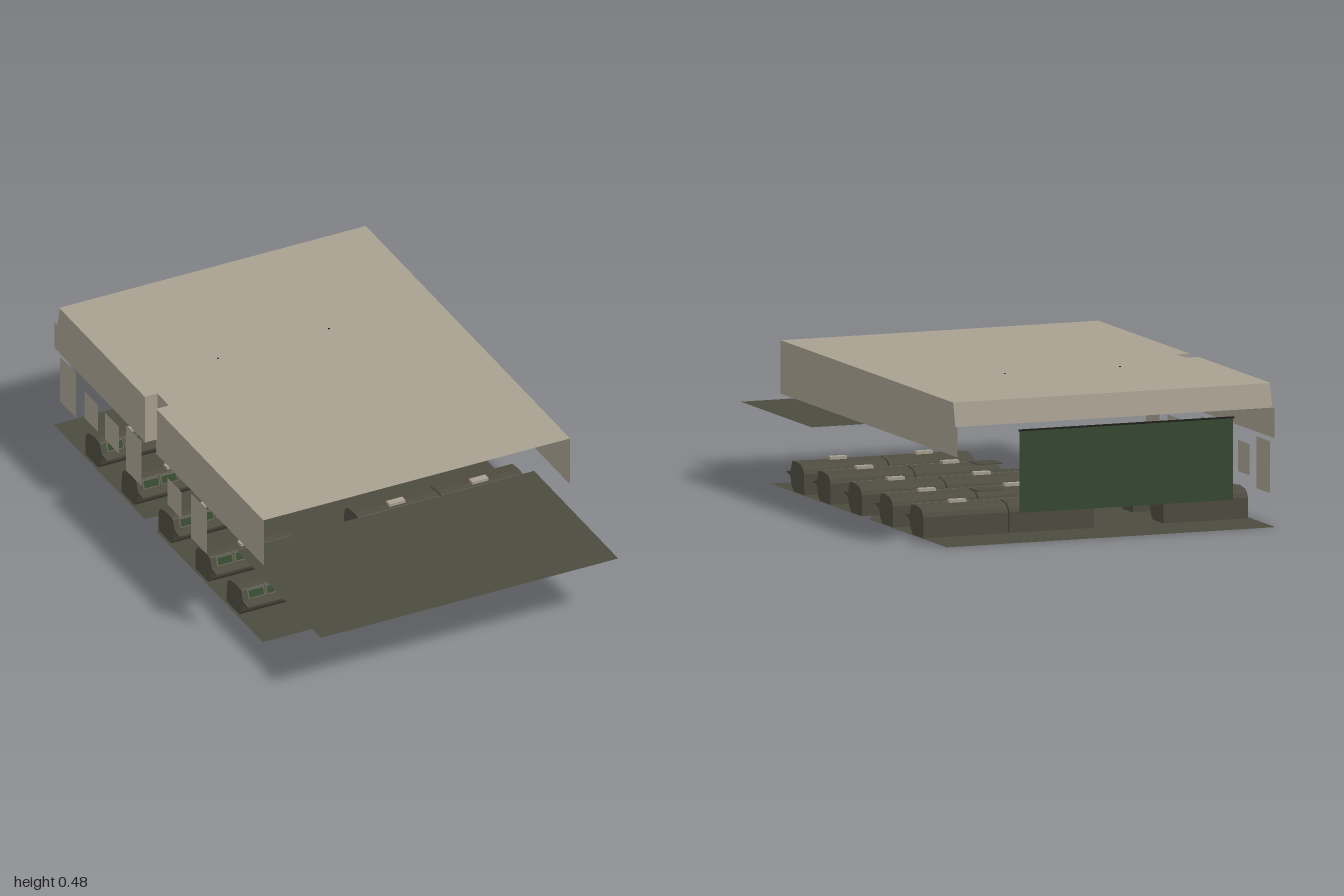
import * as THREE from 'three';

export function createModel() {
  const root = new THREE.Group();
  const mat = (name, color, side = THREE.DoubleSide) => {
    const m = new THREE.MeshStandardMaterial({ color, side });
    m.name = name;
    return m;
  };
  const plaster = mat('plaster', 0xa8a090);
  const floorMat = mat('dark olive floor', 0x4c4b3e);
  const green = mat('screen green', 0x384a31);
  const consoleMat = mat('console olive', 0x4f4d40);
  const trim = mat('console trim', 0x67645a);
  const black = mat('black metal', 0x20201c);

  const add = (name, geo, m, x = 0, y = 0, z = 0, parent = root) => {
    const mesh = new THREE.Mesh(geo, m);
    mesh.name = name;
    mesh.position.set(x, y, z);
    parent.add(mesh);
    return mesh;
  };
  const shape = pts => new THREE.Shape(pts.map(p => new THREE.Vector2(p[0], p[1])));
  // outline in (x, z), lying flat
  const flat = pts => new THREE.ShapeGeometry(shape(pts)).rotateX(Math.PI / 2);
  // outline in (z, y), standing along the depth
  const upright = pts => new THREE.ShapeGeometry(shape(pts)).rotateY(-Math.PI / 2);

  // Floor with side recesses, and the raised gallery at the front
  add('floor', flat([
    [-0.595, 0.62], [0.59, 0.62], [0.59, -0.165], [0.55, -0.165], [0.59, -0.25], [0.59, -0.92],
    [-0.595, -0.92], [-0.595, -0.25], [-0.548, -0.25], [-0.548, -0.165], [-0.595, -0.165],
  ]), floorMat);
  add('galleryFloor', flat([[-0.57, 0.38], [0.54, 0.38], [0.54, 1], [-0.57, 1]]), floorMat, 0, 0.22, 0);

  // Ceiling, recessed on one side
  add('ceiling', flat([
    [-0.595, 0.625], [0.55, 0.625], [0.55, -0.88], [-0.595, -0.88],
    [-0.595, -0.25], [-0.548, -0.25], [-0.548, -0.165], [-0.595, -0.165],
  ]), plaster, 0, 0.48, 0);

  // Upper walls
  const backEnd = [[-0.88, 0.48], [-0.9, 0.4], [-0.92, 0.4], [-0.92, 0.3]];
  add('rightUpperWall', upright([[0.625, 0.48], ...backEnd, [0.625, 0.3]]), plaster, 0.55, 0, 0);
  add('leftUpperWallBack', upright([[-0.25, 0.48], ...backEnd, [-0.25, 0.3]]), plaster, -0.592, 0, 0);
  add('leftUpperWallFront', upright([[0.625, 0.48], [-0.165, 0.48], [-0.165, 0.3], [0.625, 0.3]]),
    plaster, -0.592, 0, 0);
  for (const z of [-0.25, -0.165]) {
    add('recessSide', new THREE.PlaneGeometry(0.046, 0.18), plaster, -0.57, 0.39, z);
  }
  add('recessBack', upright([[-0.165, 0.48], [-0.25, 0.48], [-0.25, 0.3], [-0.165, 0.3]]), plaster, -0.548, 0, 0);
  const slope = add('backSoffit', new THREE.PlaneGeometry(1.142, 0.0825), plaster, -0.021, 0.44, -0.89);
  slope.rotation.x = Math.atan2(0.02, 0.08);

  // Wall panels: [z centre, width, bottom, top]
  const panels = [
    [0.14, 0.12, 0.11, 0.285], [-0.04, 0.1, 0.145, 0.25], [-0.34, 0.115, 0.11, 0.285],
    [-0.5, 0.105, 0.145, 0.25], [-0.655, 0.1, 0.145, 0.25], [-0.825, 0.115, 0.11, 0.285],
  ];
  for (const [z, w, y0, y1] of panels) {
    add('wallPanel', new THREE.PlaneGeometry(w, y1 - y0).rotateY(Math.PI / 2), plaster, -0.59, (y0 + y1) / 2, z);
  }

  // Main display board
  add('displayBoard', new THREE.PlaneGeometry(0.77, 0.28), green, -0.06, 0.24, -0.915);
  add('boardTopTrim', new THREE.BoxGeometry(0.775, 0.006, 0.006), black, -0.06, 0.378, -0.915);

  // Small shelves behind the back wall
  for (const y of [0.195, 0.285]) {
    add('rearShelf', new THREE.BoxGeometry(0.09, 0.003, 0.08), floorMat, 0.465, y, -0.96);
  }

  // Hanging projectors
  for (const x of [-0.268, 0.147]) {
    const g = new THREE.Group();
    g.name = 'projector';
    g.position.set(x, 0, -0.355);
    root.add(g);
    add('hangingRod', new THREE.CylinderGeometry(0.003, 0.003, 0.115, 6), black, 0, 0.425, 0, g);
    add('projectorBody', new THREE.BoxGeometry(0.06, 0.016, 0.05), consoleMat, 0, 0.362, 0, g);
    add('projectorTop', new THREE.BoxGeometry(0.05, 0.004, 0.04), black, 0, 0.372, 0, g);
  }

  // Operator consoles: swept profile with a sloping face of screens
  const width = 0.305;
  const bodyGeo = new THREE.ExtrudeGeometry(shape([
    [0.08, 0.057], [0.08, 0.061], [0.045, 0.065], [0.03, 0.1], [0, 0.104], [-0.05, 0.097],
    [-0.067, 0.085], [-0.074, 0.07], [-0.076, 0], [0.018, 0], [0.036, 0.02], [0.046, 0.05],
  ]), { depth: width, bevelEnabled: false }).rotateY(-Math.PI / 2).translate(width / 2, 0, 0);
  const frameGeo = new THREE.PlaneGeometry(0.062, 0.033);
  const screenGeo = new THREE.PlaneGeometry(0.054, 0.025);
  const edgeGeo = new THREE.BoxGeometry(width, 0.004, 0.004);
  const boxGeo = new THREE.BoxGeometry(0.06, 0.01, 0.025);
  for (const x of [-0.4325, 0.1225, 0.4325]) {
    for (const z of [0.41, 0.18, -0.093, -0.364, -0.63]) {
      const c = new THREE.Group();
      c.name = 'console';
      c.position.set(x, 0, z);
      root.add(c);
      add('consoleBody', bodyGeo, consoleMat, 0, 0, 0, c);
      add('topEdge', edgeGeo, trim, 0, 0.1, 0.03, c);
      add('topBox', boxGeo, plaster, 0, 0.108, 0.005, c);
      const face = new THREE.Group();
      face.name = 'screenBank';
      face.position.set(0, 0.0825, 0.0375);
      face.rotation.x = -Math.atan2(0.015, 0.035);
      c.add(face);
      for (let i = 0; i < 4; i++) {
        const sx = (i - 1.5) * 0.067;
        add('screenFrame', frameGeo, trim, sx, 0, 0.0015, face);
        add('screen', screenGeo, green, sx, 0, 0.003, face);
      }
    }
  }
  return root;
}
